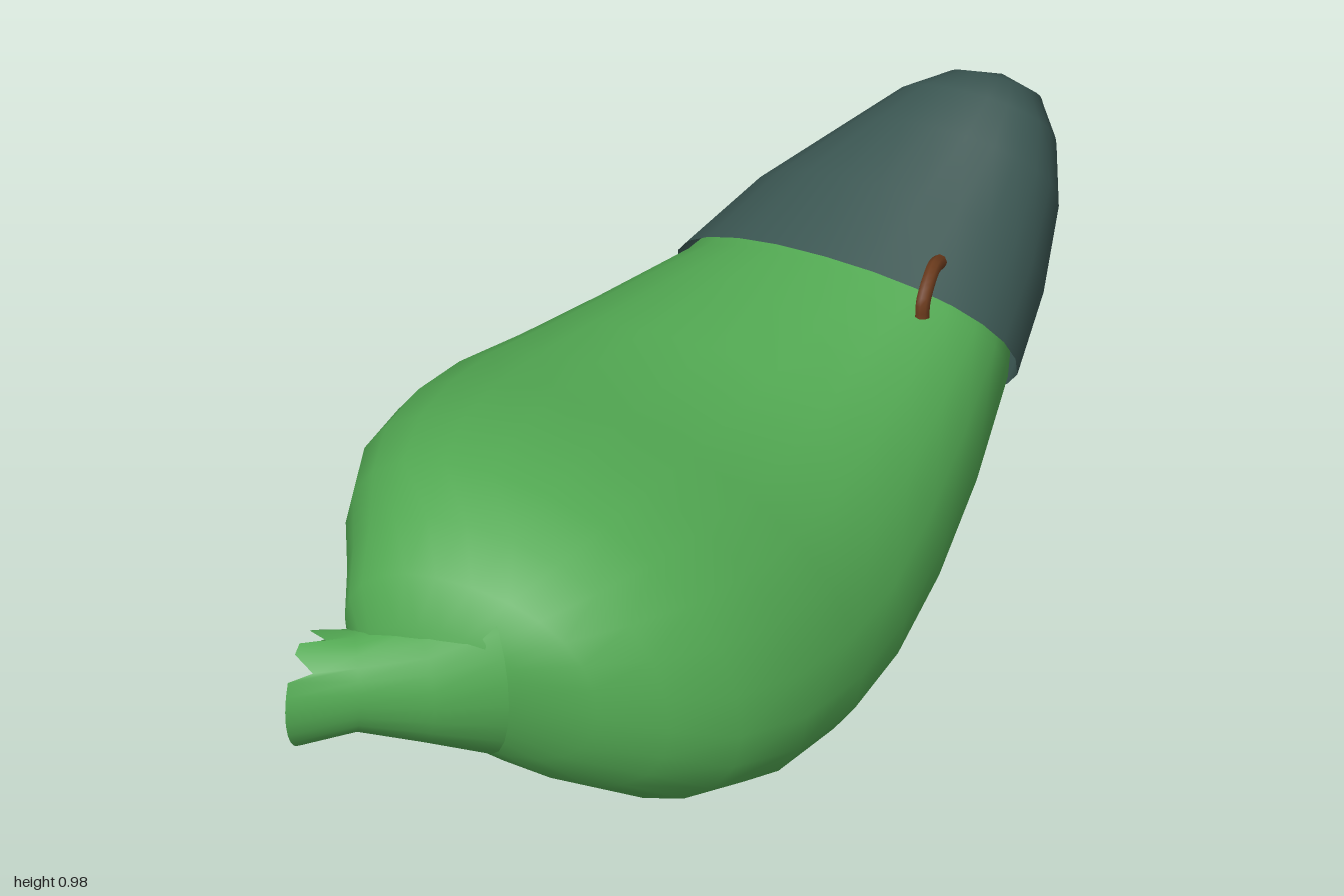
import * as THREE from 'three';

const SIDES = 24;

// Skin closed rings of points (counter-clockwise seen from the far end) into a smooth surface.
function loft(rings, material, name) {
  const n = rings[0].length;
  const pos = rings.flat(2);
  const index = [];
  for (let i = 0; i < rings.length - 1; i++) {
    for (let j = 0; j < n; j++) {
      const k = (j + 1) % n;
      const a = i * n + j, b = i * n + k, c = a + n, d = b + n;
      index.push(a, b, c, b, d, c);
    }
  }
  const geo = new THREE.BufferGeometry();
  geo.setAttribute('position', new THREE.Float32BufferAttribute(pos, 3));
  geo.setIndex(index);
  geo.computeVertexNormals();
  const mesh = new THREE.Mesh(geo, material);
  mesh.name = name;
  return mesh;
}

const angles = Array.from({ length: SIDES }, (_, j) => (j / SIDES) * Math.PI * 2);
const soft = (v) => Math.sign(v) * Math.abs(v) ** 0.92;

// Skewed oval between a top and a bottom point, spanning xMin to xMax.
function oval([topZ, topY, botZ, botY, xMin, xMax, skew, yaw = 0]) {
  const hx = (xMax - xMin) / 2;
  return angles.map((t) => {
    const u = soft(Math.sin(t + skew));
    const dx = hx * soft(Math.cos(t));
    return [
      (xMin + xMax) / 2 + dx,
      (topY + botY) / 2 + (u * (topY - botY)) / 2,
      (topZ + botZ) / 2 + (u * (topZ - botZ)) / 2 + yaw * dx,
    ];
  });
}

const point = (x, y, z) => angles.map(() => [x, y, z]);

export function createModel() {
  const green = new THREE.MeshStandardMaterial({ color: 0x52a852, side: THREE.DoubleSide });
  green.name = 'leaf green';
  const slate = new THREE.MeshStandardMaterial({ color: 0x3a5551, side: THREE.DoubleSide });
  slate.name = 'dark slate';
  const brown = new THREE.MeshStandardMaterial({ color: 0x6a3a1c });
  brown.name = 'brown';

  const group = new THREE.Group();
  group.name = 'cappedGourd';

  // Body, from inside the cap to the blunt front: topZ, topY, bottomZ, bottomY, xMin, xMax, skew, yaw
  const body = [
    [-0.5, 0.8, -0.7, 0.42, -0.19, 0.5, 0.05, 0.07],
    [-0.41, 0.768, -0.64, 0.36, -0.245, 0.525, 0.05, 0.07],
    [-0.25, 0.75, -0.43, 0.18, -0.37, 0.53, -0.08, 0.03],
    [-0.08, 0.738, -0.2, 0.07, -0.465, 0.53, -0.22],
    [0.08, 0.742, 0.03, 0.02, -0.535, 0.53, -0.32],
    [0.25, 0.768, 0.22, 0.004, -0.55, 0.515, -0.38],
    [0.42, 0.785, 0.45, 0.03, -0.545, 0.485, -0.38],
    [0.57, 0.77, 0.63, 0.085, -0.5, 0.41, -0.38],
    [0.7, 0.72, 0.75, 0.17, -0.44, 0.3, -0.33],
    [0.8, 0.64, 0.82, 0.25, -0.405, 0.17, -0.2],
    [0.86, 0.55, 0.855, 0.33, -0.35, 0.02, 0],
  ].map(oval);
  body.push(point(-0.17, 0.43, 0.88));
  group.add(loft(body, green, 'body'));

  // Cap, from its rounded tip to the rim
  const cap = [
    [-0.9, 0.983, -0.997, 0.87, 0.2, 0.4, 0],
    [-0.84, 0.972, -0.965, 0.76, 0.1, 0.455, 0],
    [-0.75, 0.93, -0.9, 0.63, 0, 0.495, 0],
    [-0.6, 0.86, -0.79, 0.47, -0.15, 0.525, 0.03, 0.04],
    [-0.42, 0.782, -0.66, 0.35, -0.255, 0.54, 0.05, 0.07],
  ].map(oval);
  cap.unshift(point(0.3, 0.935, -0.98));
  group.add(loft(cap, slate, 'cap'));

  // Stem flaring out of the body: centre, width direction in x and z, half width, half height
  const stem = [
    [-0.14, 0.42, 0.74, 0.7, 0.7, 0.2, 0.21],
    [-0.25, 0.395, 0.82, 0.7, 0.7, 0.14, 0.145],
    [-0.36, 0.375, 0.86, 0.5, 0.87, 0.1, 0.11],
    [-0.46, 0.347, 0.89, 0, 1, 0.1, 0.133],
  ].map(([x, y, z, dx, dz, w, h]) => angles.map((t) => [
    x + dx * w * Math.cos(t), y + h * Math.sin(t), z + dz * w * Math.cos(t),
  ]));
  // Torn upper edge
  stem[3].forEach((p, j) => {
    if (Math.sin(angles[j]) > 0.2 && j % 3 === 0) p[0] += 0.05;
  });
  group.add(loft(stem, green, 'stem'));

  // Small curved twig hooked over the cap rim
  const path = new THREE.CatmullRomCurve3([
    [0.383, 0.722, -0.38], [0.383, 0.755, -0.385], [0.38, 0.785, -0.42],
    [0.375, 0.795, -0.46], [0.372, 0.785, -0.495],
  ].map((p) => new THREE.Vector3(...p)));
  const twig = new THREE.Mesh(new THREE.TubeGeometry(path, 12, 0.016, 8), brown);
  twig.name = 'twig';
  group.add(twig);

  return group;
}
